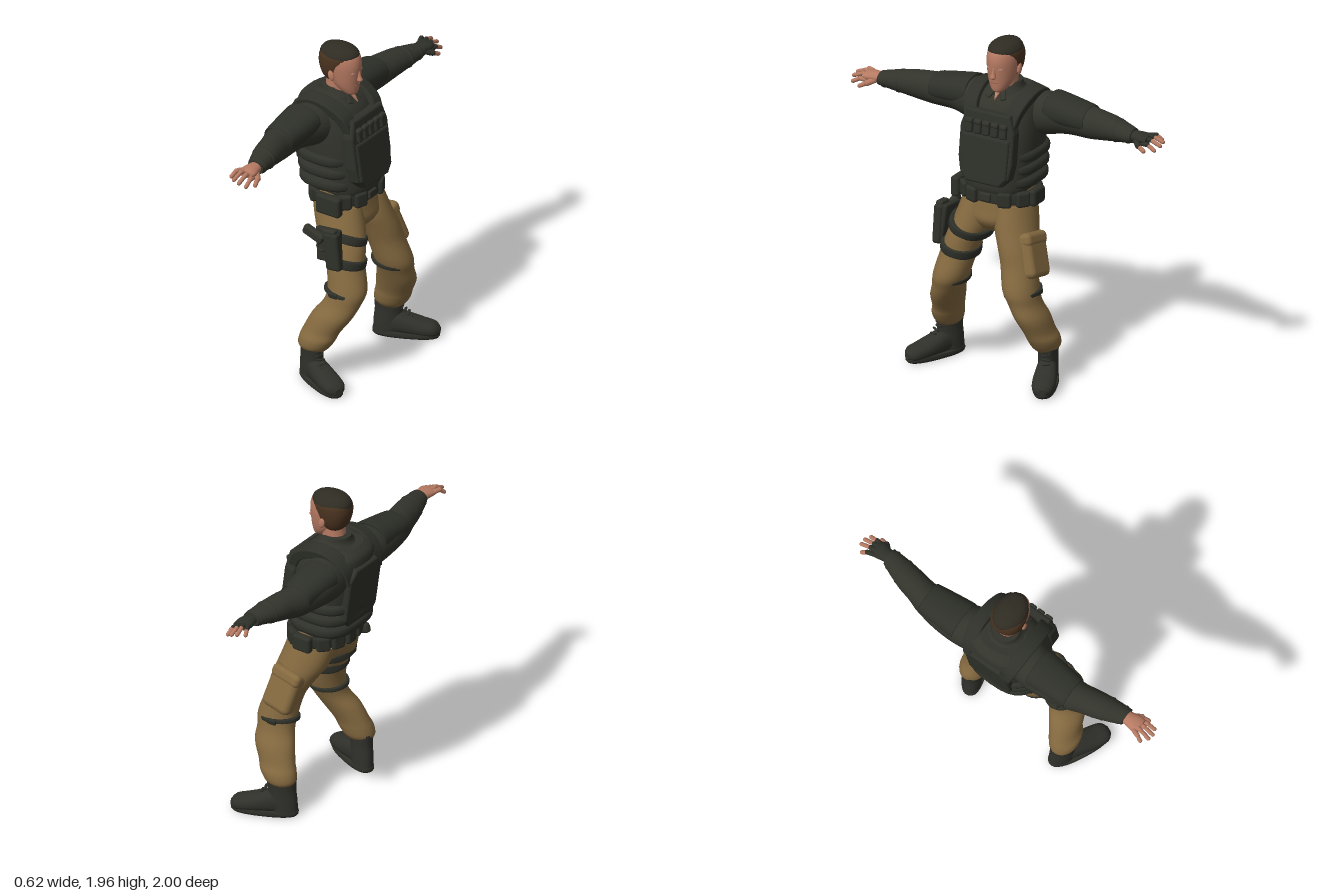
import * as THREE from 'three';
import { RoundedBoxGeometry } from 'three/addons/geometries/RoundedBoxGeometry.js';

const mat = (name, color) => Object.assign(new THREE.MeshStandardMaterial({ color }), { name });
const M = {
  cloth: mat('dark cloth', 0x32332b), gear: mat('dark gear', 0x2e3029), boot: mat('boot leather', 0x30302b),
  khaki: mat('khaki trousers', 0x856a40), skin: mat('skin', 0xb67a62), lip: mat('lips', 0xa06a56),
  eye: mat('pale eyes', 0xc4958a), hair: mat('brown hair', 0x49321f), crown: mat('dark hair top', 0x2f2c23),
};
const V = (x, y, z) => new THREE.Vector3(x, y, z);
const V2 = p => new THREE.Vector2(...p);

// Value of a smooth curve through the rows at position t (in row units)
function sample(rows, t) {
  const i = Math.min(Math.floor(t), rows.length - 2), f = t - i;
  const at = k => rows[Math.max(0, Math.min(rows.length - 1, k))];
  return at(i).map((b, k) => {
    const a = at(i - 1)[k], c = at(i + 1)[k], d = at(i + 2)[k];
    return b + 0.5 * f * (c - a + f * (2 * a - 5 * b + 4 * c - d + f * (3 * (b - c) + d - a)));
  });
}

// Skin over superellipse sections along an axis; row = [position, centreU, centreV, radiusU, radiusV]
// with (axis, U, V) in cyclic order: y -> z, x;  z -> x, y;  x -> y, z
function loft(axis, rows, p = 2, n = 28, sub = 4) {
  if (rows[0][0] > rows[rows.length - 1][0]) rows = rows.slice().reverse();
  const pos = [], idx = [], d = 'xyz'.indexOf(axis), u = (d + 1) % 3, v = (d + 2) % 3;
  const put = (a, b, c) => { const q = []; q[d] = a; q[u] = b; q[v] = c; pos.push(...q); };
  const pw = x => Math.sign(x) * Math.abs(x) ** (2 / p);
  const ring = r => {
    for (let j = 0; j < n; j++) {
      const a = j / n * Math.PI * 2;
      put(r[0], r[1] + r[3] * pw(Math.cos(a)), r[2] + r[4] * pw(Math.sin(a)));
    }
  };
  const count = (rows.length - 1) * sub;
  for (let i = 0; i <= count; i++) ring(sample(rows, i / sub));
  for (let i = 0; i < count; i++) for (let j = 0; j < n; j++) {
    const a = i * n + j, b = i * n + (j + 1) % n;
    idx.push(a, b, b + n, a, b + n, a + n);
  }
  for (const end of [0, 1]) {
    const r = rows[end * (rows.length - 1)], s = pos.length / 3;
    ring(r); put(r[0], r[1], r[2]);
    for (let j = 0; j < n; j++) {
      const a = s + j, b = s + (j + 1) % n;
      idx.push(s + n, ...(end ? [a, b] : [b, a]));
    }
  }
  const g = new THREE.BufferGeometry();
  g.setAttribute('position', new THREE.Float32BufferAttribute(pos, 3));
  g.setIndex(idx); g.computeVertexNormals();
  return g;
}

export function createModel() {
  const model = new THREE.Group();
  model.name = 'officer';
  const add = (name, geo, m, parent = model) => {
    const mesh = new THREE.Mesh(geo, m);
    mesh.name = name; parent.add(mesh);
    return mesh;
  };
  const box = (name, m, size, at, rot = [0, 0, 0], parent = model, r = 0.012) => {
    const b = add(name, new RoundedBoxGeometry(...size, 2, Math.min(r, Math.min(...size) * 0.45)), m, parent);
    b.position.set(...at); b.rotation.set(...rot);
  };
  const limb = (name, m, a, b, r, parent) => {
    const c = add(name, new THREE.CapsuleGeometry(r, a.distanceTo(b), 4, 10), m, parent);
    c.position.copy(a).lerp(b, 0.5);
    c.quaternion.setFromUnitVectors(V(0, 1, 0), b.clone().sub(a).normalize());
  };
  const panel = (name, pts, depth, x, y, tilt) => {
    const g = new THREE.ExtrudeGeometry(new THREE.Shape(pts.map(V2)),
      { depth, bevelSize: 0.014, bevelThickness: 0.014, bevelSegments: 3 });
    const mesh = add(name, g.rotateY(Math.PI / 2), M.gear);
    mesh.position.set(x, y, 0); mesh.rotation.z = tilt;
  };

  // Head, hair and face
  add('head', loft('y', [[1.668, 0, 0.008, 0.022, 0.025], [1.682, 0, 0.002, 0.042, 0.044], [1.73, 0, -0.025, 0.07, 0.078],
    [1.8, 0, -0.045, 0.086, 0.106], [1.86, 0, -0.06, 0.092, 0.124], [1.91, 0, -0.065, 0.085, 0.113],
    [1.94, 0, -0.07, 0.056, 0.078], [1.95, 0, -0.07, 0.01, 0.01]]), M.skin);
  add('neck', loft('y', [[1.6, 0, -0.095, 0.07, 0.075], [1.68, 0, -0.085, 0.064, 0.07], [1.78, 0, -0.075, 0.064, 0.07]]), M.skin);
  add('hairSides', loft('y', [[1.74, 0, -0.09, 0.055, 0.05], [1.765, 0, -0.09, 0.075, 0.074], [1.8, 0, -0.087, 0.09, 0.092],
    [1.85, 0, -0.083, 0.097, 0.108], [1.89, 0, -0.075, 0.096, 0.114], [1.91, 0, -0.073, 0.088, 0.108]], 2.2), M.hair);
  add('hairTop', loft('y', [[1.892, 0, -0.071, 0.094, 0.119], [1.917, 0, -0.069, 0.087, 0.116],
    [1.943, 0, -0.071, 0.062, 0.088], [1.956, 0, -0.075, 0.02, 0.025]]), M.crown);
  add('nose', loft('y', [[1.757, 0, 0.06, 0.008, 0.01], [1.768, 0, 0.066, 0.017, 0.017], [1.79, 0, 0.06, 0.011, 0.014],
    [1.83, 0, 0.05, 0.008, 0.012]], 2, 12), M.skin);
  box('mouth', M.lip, [0.012, 0.009, 0.046], [0.048, 1.732, 0]);
  box('chin', M.skin, [0.04, 0.032, 0.05], [0.026, 1.694, 0], [0, 0, 0], model, 0.015);
  for (const s of [1, -1]) {
    box('eye', M.eye, [0.008, 0.01, 0.028], [0.049, 1.817, s * 0.037], [0, s * -0.35, 0]);
    const ear = add('ear', new THREE.SphereGeometry(1, 12, 8), M.skin);
    ear.scale.set(0.02, 0.033, 0.011); ear.position.set(-0.065, 1.795, s * 0.093); ear.rotation.z = 0.2;
  }

  // Jacket collar with open throat, and vest body
  add('collar', loft('y', [[1.58, 0, -0.11, 0.15, 0.15], [1.64, 0, -0.105, 0.125, 0.12], [1.672, 0, -0.1, 0.09, 0.095],
    [1.705, 0, -0.112, 0.078, 0.075]]), M.cloth);
  const throat = new THREE.Shape([[-0.028, 0.05], [0, -0.05], [0.028, 0.05]].map(V2));
  const throatMesh = add('throat', new THREE.ExtrudeGeometry(throat, { depth: 0.008, bevelEnabled: false }).rotateY(Math.PI / 2), M.skin);
  throatMesh.position.set(0.014, 1.66, 0); throatMesh.rotation.z = 0.75;
  for (const s of [1, -1])
    box('collarWing', M.cloth, [0.014, 0.085, 0.034], [0.018, 1.662, s * 0.036], [s * -0.3, s * -0.3, 0.75]);
  add('vest', loft('y', [[1.105, 0, -0.035, 0.195, 0.185], [1.15, 0, -0.04, 0.205, 0.198], [1.3, 0, -0.062, 0.212, 0.205],
    [1.45, 0, -0.088, 0.215, 0.208], [1.57, 0, -0.11, 0.203, 0.187], [1.625, 0, -0.127, 0.182, 0.16],
    [1.66, 0, -0.137, 0.125, 0.108]], 2.5, 36), M.cloth);
  for (const y of [1.165, 1.24, 1.315]) {
    const x = -0.065 - (y - 1.165) * 0.12;
    add('vestBand', loft('y', [[y - 0.037, 0, x, 0.207, 0.175], [y - 0.018, 0, x, 0.231, 0.197],
      [y + 0.018, 0, x, 0.231, 0.197], [y + 0.037, 0, x, 0.207, 0.175]], 2.7, 32), M.gear);
  }
  panel('frontPanel', [[-0.11, -0.2], [0.11, -0.2], [0.145, -0.16], [0.16, -0.08], [0.16, 0.1], [0.13, 0.19], [-0.13, 0.19],
    [-0.16, 0.1], [-0.16, -0.08], [-0.145, -0.16]], 0.045, 0.09, 1.37, 0.13);
  panel('lowerPouch', [[-0.1, -0.19], [0.1, -0.19], [0.135, -0.15], [0.14, 0.06], [-0.14, 0.06], [-0.135, -0.15]],
    0.055, 0.094, 1.36, 0.13);
  panel('backPanel', [[-0.1, -0.19], [0.1, -0.19], [0.13, -0.15], [0.13, 0.11], [0.09, 0.16], [-0.09, 0.16], [-0.13, 0.11],
    [-0.13, -0.15]], 0.05, -0.278, 1.4, 0.14);
  for (let i = 0; i < 5; i++) {
    const z = (i - 2) * 0.055;
    box('chestPouch', M.gear, [0.035, 0.085, 0.046], [0.135, 1.487, z], [0, 0, 0.13]);
    box('chestPouchFlap', M.cloth, [0.04, 0.03, 0.049], [0.134, 1.515, z], [0, 0, 0.13]);
  }

  // Shoulder straps, sleeves, pads and hands
  const strap = new THREE.Shape();
  strap.moveTo(0.11, 1.5);
  strap.splineThru([[0.07, 1.595], [-0.02, 1.655], [-0.12, 1.675], [-0.21, 1.65], [-0.27, 1.585], [-0.292, 1.5]].map(V2));
  strap.lineTo(-0.25, 1.5);
  strap.splineThru([[-0.2, 1.6], [-0.12, 1.63], [-0.03, 1.61], [0.04, 1.56], [0.07, 1.5]].map(V2));
  const strapGeo = new THREE.ExtrudeGeometry(strap,
    { depth: 0.065, bevelSize: 0.008, bevelThickness: 0.01, bevelSegments: 2, curveSegments: 8 }).translate(0, -1.6, -0.032);
  for (const s of [1, -1]) {
    const side = rows => rows.map(r => [s * r[0], ...r.slice(1)]);
    const st = add('shoulderStrap', strapGeo, M.gear);
    st.position.set(0, 1.6, s * 0.142); st.rotation.x = s * 0.22;
    const arm = new THREE.Group();
    arm.name = 'arm'; arm.position.x = s > 0 ? 0.022 : -0.006;
    model.add(arm);
    add('sleeve', loft('z', side([[0.05, -0.12, 1.51, 0.13, 0.12], [0.2, -0.155, 1.52, 0.13, 0.125], [0.35, -0.178, 1.523, 0.108, 0.102],
      [0.5, -0.167, 1.52, 0.092, 0.091], [0.58, -0.15, 1.527, 0.083, 0.083], [0.66, -0.135, 1.532, 0.079, 0.071],
      [0.75, -0.115, 1.534, 0.066, 0.054], [0.815, -0.1, 1.535, 0.052, 0.04]])), M.cloth, arm);
    add('shoulderPad', loft('z', side([[0.25, -0.165, 1.565, 0.11, 0.08], [0.265, -0.167, 1.564, 0.117, 0.088],
      [0.475, -0.168, 1.543, 0.099, 0.075], [0.49, -0.167, 1.54, 0.09, 0.067]]), 2.3), M.gear, arm);
    for (const [z, x, rx, ry] of [[0.7, -0.125, 0.077, 0.067], [0.785, -0.105, 0.061, 0.049]])
      add('sleeveFold', loft('z', side([[z - 0.025, x, 1.533, rx * 0.85, ry * 0.85], [z, x, 1.533, rx, ry],
        [z + 0.025, x, 1.533, rx * 0.8, ry * 0.8]])), M.cloth, arm);
    const hand = s > 0 ? M.skin : M.gear;
    add('palm', loft('z', side([[0.79, -0.1, 1.535, 0.036, 0.029], [0.83, -0.1, 1.537, 0.042, 0.03],
      [0.88, -0.1, 1.537, 0.052, 0.028], [0.912, -0.102, 1.535, 0.048, 0.021]])), hand, arm);
    [[-0.143, -0.165, 1.533, 0.955], [-0.115, -0.128, 1.536, 0.985], [-0.088, -0.092, 1.526, 0.988],
      [-0.062, -0.055, 1.508, 0.972]].forEach(([x0, x1, y, z]) => {
      const mid = V((x0 + x1) / 2, y + 0.012, s * 0.927);
      limb('fingerBase', hand, V(x0, y + 0.01, s * 0.895), mid, 0.014, arm);
      limb('finger', M.skin, mid, V(x1, y - 0.012, s * z), 0.012, arm);
    });
    limb('thumbBase', hand, V(-0.075, 1.525, s * 0.84), V(-0.043, 1.508, s * 0.875), 0.018, arm);
    limb('thumb', M.skin, V(-0.043, 1.508, s * 0.875), V(-0.032, 1.488, s * 0.915), 0.013, arm);
  }

  // Hips, belt and pouches
  add('hips', loft('y', [[0.85, 0, 0.03, 0.04, 0.06], [0.88, 0, 0.025, 0.12, 0.1], [0.93, 0, 0.01, 0.175, 0.145],
    [1, 0, -0.012, 0.21, 0.158], [1.12, 0, -0.03, 0.2, 0.16]], 2.2), M.khaki);
  add('belt', loft('y', [[1.04, 0, -0.022, 0.217, 0.165], [1.05, 0, -0.022, 0.223, 0.17], [1.1, 0, -0.025, 0.223, 0.17],
    [1.11, 0, -0.025, 0.215, 0.165]], 2.2), M.gear);
  for (const d of [25, 52, 130, 155, 180, 205, 230, 300, 330]) {
    const a = d * Math.PI / 180;
    box('beltPouch', M.gear, [0.045, 0.09, 0.08], [-0.022 + 0.172 * Math.cos(a), 1.072, 0.222 * Math.sin(a)],
      [0, -Math.atan2(Math.sin(a) * 0.17, Math.cos(a) * 0.22), 0], model, 0.016);
  }
  box('sidePouch', M.gear, [0.16, 0.12, 0.055], [0.02, 1.065, 0.235], [0, 0, 0], model, 0.018);
  box('sidePouch', M.gear, [0.12, 0.1, 0.05], [-0.03, 1.07, -0.225], [0, 0, 0], model, 0.018);
  box('buckle', M.cloth, [0.02, 0.05, 0.07], [0.15, 1.075, 0]);

  // Trousers, straps and boots
  for (const s of [1, -1]) {
    const dx = s < 0 ? 0.055 : 0;
    const rows = [[0.195, 0.335, -0.015 + dx, 0.06, 0.075], [0.222, 0.333, -0.01 + dx, 0.079, 0.098], [0.27, 0.327, 0.008 + dx, 0.087, 0.11],
      [0.32, 0.312, 0.028 + dx, 0.083, 0.112], [0.41, 0.285, 0.078 + dx * 0.7, 0.092, 0.122], [0.49, 0.25, 0.122 + dx * 0.2, 0.092, 0.112],
      [0.57, 0.225, 0.137, 0.101, 0.117], [0.7, 0.195, 0.105, 0.104, 0.112], [0.8, 0.165, 0.07, 0.109, 0.132],
      [0.9, 0.13, 0.025, 0.116, 0.15], [1.03, 0.105, -0.015, 0.105, 0.15]].map(r => [r[0], s * r[1], ...r.slice(2)]);
    add('trouserLeg', loft('y', rows), M.khaki);
    const legBand = (name, row, h, tilt, grow, back = 0) => {
      const [y, z, x, rz, rx] = sample(rows, row), a = rz + grow, b = rx + grow;
      const band = add(name, loft('y', [[-h, 0, 0, a - 0.006, b - 0.006], [-h * 0.7, 0, 0, a, b], [h * 0.7, 0, 0, a, b],
        [h, 0, 0, a - 0.006, b - 0.006]]), M.gear);
      band.position.set(x - back, y, z); band.rotation.set(-s * tilt, 0, -0.1);
    };
    legBand('kneeStrap', 5.8, 0.013, 0.1, 0.005, 0.015);
    box('kneeBuckle', M.gear, [0.06, 0.035, 0.02], [0.11, 0.558, s * 0.328], [s * 0.15, 0, 0]);
    if (s > 0) {
      legBand('upperThighStrap', 8.55, 0.025, 0.35, 0.012);
      legBand('lowerThighStrap', 7.25, 0.027, 0.2, 0.01);
    } else {
      box('cargoPocket', M.khaki, [0.19, 0.26, 0.1], [0.07, 0.755, -0.262], [0.3, 0, 0.2], model, 0.035);
      box('cargoFlap', M.khaki, [0.195, 0.08, 0.1], [0.052, 0.84, -0.242], [0.3, 0, 0.2], model, 0.03);
    }

    const boot = new THREE.Group();
    boot.name = 'boot';
    boot.position.set(dx - 0.012, 0, s * 0.343); boot.rotation.y = -s * 0.42;
    model.add(boot);
    add('bootShaft', loft('y', [[0.02, 0, -0.025, 0.055, 0.08], [0.09, 0, -0.02, 0.057, 0.082], [0.16, 0, -0.015, 0.057, 0.08],
      [0.235, 0, -0.012, 0.063, 0.087]]), M.boot, boot);
    add('bootFoot', loft('x', [[-0.06, 0.065, 0, 0.05, 0.045], [0.03, 0.08, 0, 0.069, 0.057], [0.1, 0.07, 0, 0.06, 0.064],
      [0.18, 0.056, 0, 0.048, 0.067], [0.245, 0.048, 0, 0.039, 0.056], [0.275, 0.04, 0, 0.018, 0.022]], 2.3), M.boot, boot);
    add('bootSole', loft('y', [[0, 0, 0.083, 0.061, 0.184], [0.012, 0, 0.083, 0.067, 0.192], [0.03, 0, 0.083, 0.066, 0.191]], 2.5), M.gear, boot);
    for (let i = 0; i < 6; i++)
      box('lace', M.gear, [0.016, 0.013, 0.05], [0.115 - Math.min(i, 3) * 0.018, 0.118 + i * 0.019, 0], [(i % 2 - 0.5) * 0.3, 0, 0.6], boot);
  }

  // Holster with sidearm
  box('holsterPlate', M.gear, [0.16, 0.2, 0.035], [0.06, 0.85, 0.29], [-0.1, 0, 0.1]);
  box('holsterBody', M.gear, [0.095, 0.23, 0.055], [0.105, 0.835, 0.318], [0, 0, 0.1], model, 0.018);
  box('pistolSlide', M.cloth, [0.085, 0.065, 0.045], [0.085, 0.935, 0.318], [0, 0, 0.1]);
  box('pistolGrip', M.cloth, [0.14, 0.06, 0.045], [-0.025, 0.905, 0.318], [0, 0, -0.35], model, 0.018);
  const guard = add('triggerGuard', new THREE.TorusGeometry(0.026, 0.008, 8, 18), M.cloth);
  guard.position.set(0.025, 0.84, 0.318);
  return model;
}
